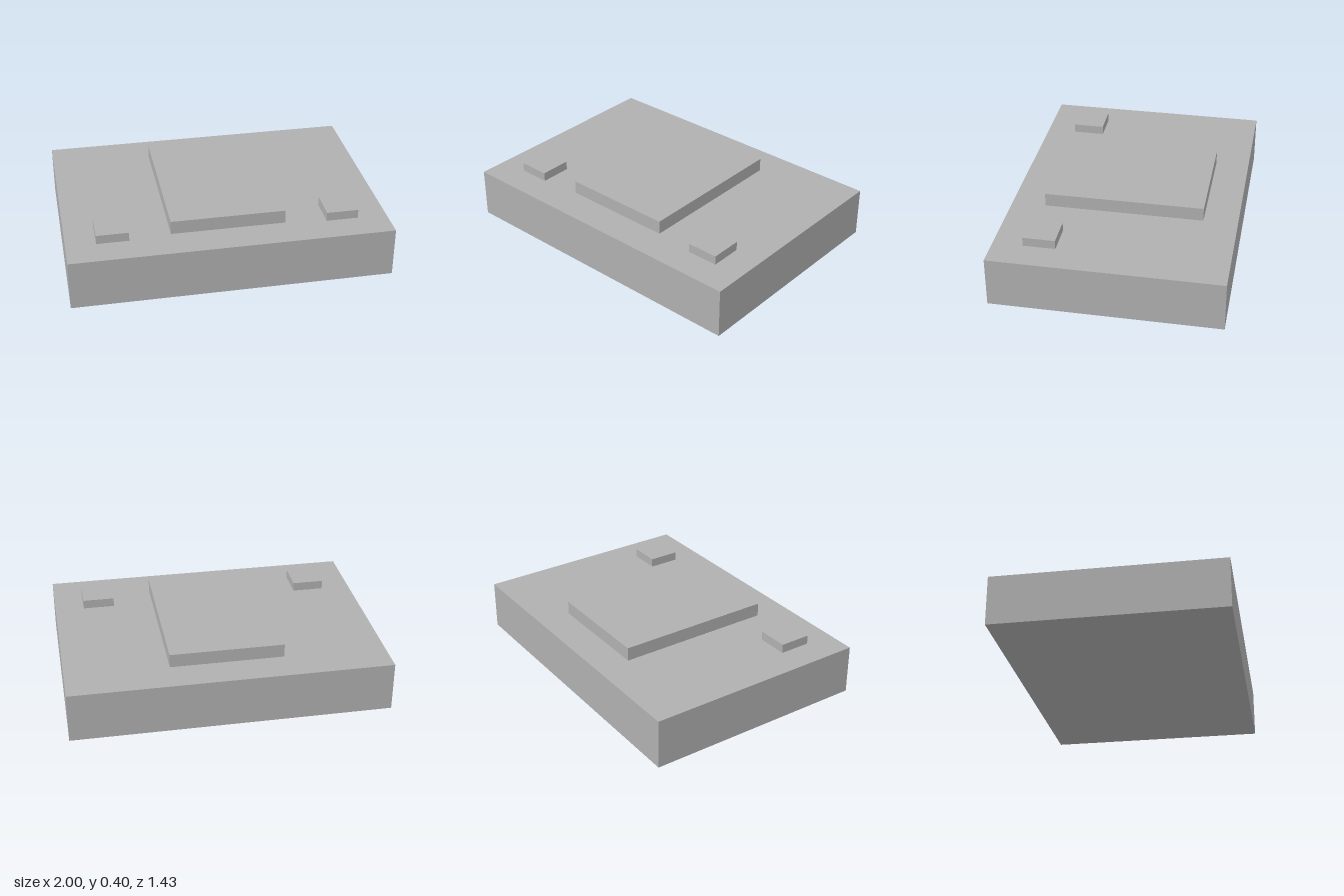
import * as THREE from 'three';

export function createModel() {
  const model = new THREE.Group();
  model.name = 'steppedBlock';
  const grey = new THREE.MeshStandardMaterial({ name: 'grey', color: 0xb0b0b0 });

  // Adds a box resting on the given bottom height
  const addBox = (name, [w, h, d], [x, bottom, z]) => {
    const mesh = new THREE.Mesh(new THREE.BoxGeometry(w, h, d), grey);
    mesh.name = name;
    mesh.position.set(x, bottom + h / 2, z);
    model.add(mesh);
  };

  const baseHeight = 0.315;

  // Main slab
  addBox('base', [2, baseHeight, 1.428], [0, 0, 0]);

  // Raised central panel
  addBox('centrePanel', [0.714, 0.086, 1], [0, baseHeight, 0]);

  // Small square pads near the front corners
  for (const [side, name] of [[1, 'leftPad'], [-1, 'rightPad']]) {
    addBox(name, [0.2, 0.057, 0.2], [side * 0.714, baseHeight, 0.428]);
  }

  return model;
}
